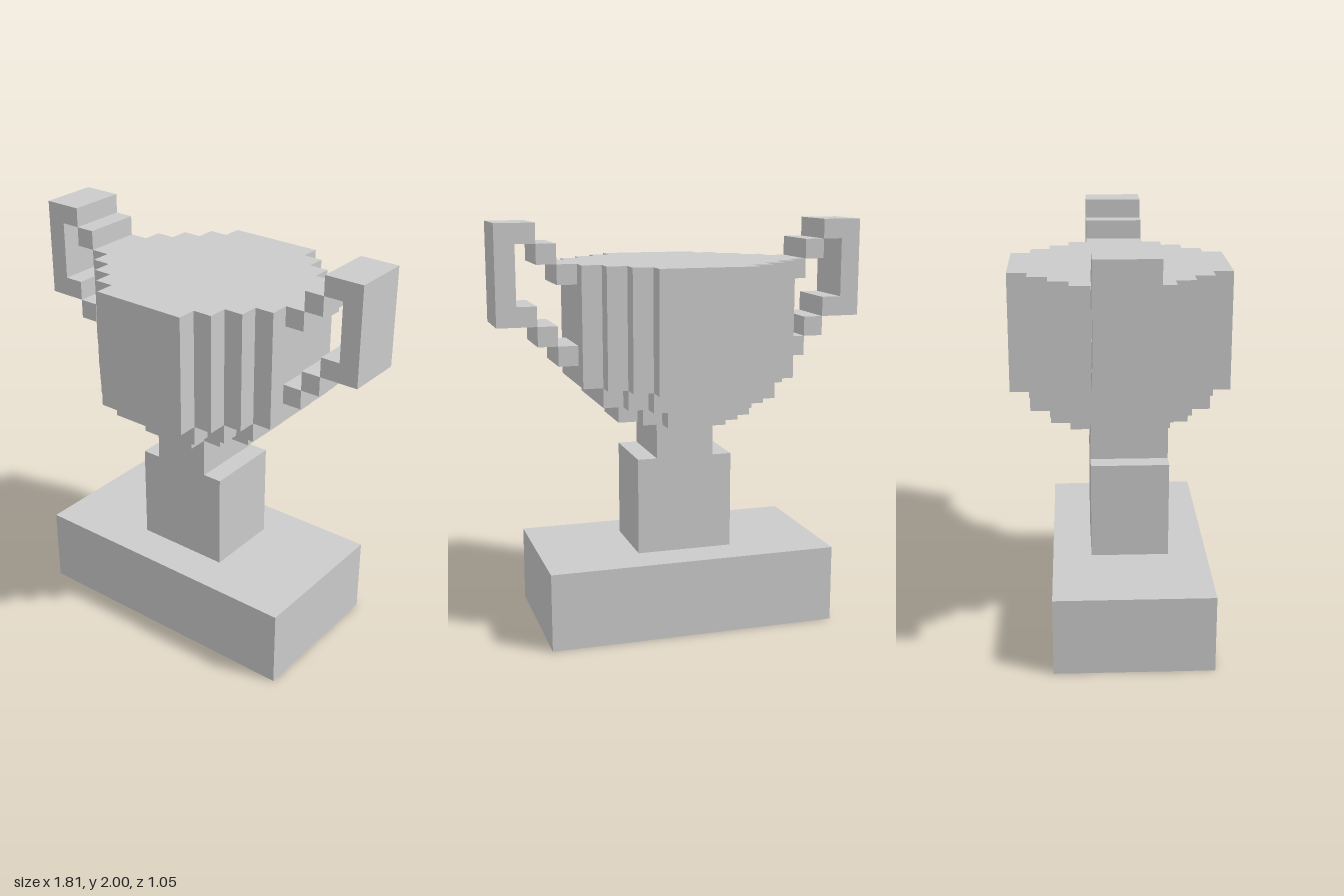
import * as THREE from 'three';

const U = 2 / 21; // one block
const material = new THREE.MeshStandardMaterial({ color: 0xcccccc, flatShading: true });

// Box from min/max corners, in blocks
function block(name, [x0, x1], [y0, y1], [z0, z1]) {
  const geometry = new THREE.BoxGeometry((x1 - x0) * U, (y1 - y0) * U, (z1 - z0) * U);
  geometry.translate((x0 + x1) * U / 2, (y0 + y1) * U / 2, (z0 + z1) * U / 2);
  const mesh = new THREE.Mesh(geometry, material);
  mesh.name = name;
  return mesh;
}

// Stepped round slab: flat sides of half width `flat`, one-block stairs at the corners
function steppedDisc(name, radius, flat, y0, y1) {
  const corner = [[radius, flat]];
  for (let x = radius, z = flat; z < radius; x--, z++) {
    corner.push([x, z]);
    if (x - 1 >= flat) corner.push([x - 1, z]);
  }
  corner.push([flat, radius]);
  const points = [];
  for (let q = 0; q < 4; q++) {
    for (let [x, z] of corner) {
      for (let i = 0; i < q; i++) [x, z] = [-z, x];
      const p = new THREE.Vector2(x * U, z * U);
      if (!points.length || points[points.length - 1].distanceTo(p) > 1e-6) points.push(p);
    }
  }
  const geometry = new THREE.ExtrudeGeometry(new THREE.Shape(points), { depth: (y1 - y0) * U, bevelEnabled: false });
  geometry.rotateX(-Math.PI / 2).translate(0, y0 * U, 0);
  const mesh = new THREE.Mesh(geometry, material);
  mesh.name = name;
  return mesh;
}

// C-shaped grip with blocks stepping in to the bowl
function handle(name, side) {
  const group = new THREE.Group();
  group.name = name;
  const parts = [
    ['grip', [8.5, 9.5], [16, 21]],
    ['upperArm', [7.5, 8.5], [20, 21]],
    ['upperOuterStep', [6.5, 7.5], [19, 20]],
    ['upperInnerStep', [5.5, 6.5], [18, 19]],
    ['lowerArm', [7.5, 8.5], [16, 17]],
    ['lowerOuterStep', [6.5, 7.5], [15, 16]],
    ['lowerInnerStep', [5.5, 6.5], [14, 15]],
  ];
  for (const [part, [a, b], y] of parts) {
    group.add(block(part, side > 0 ? [a, b] : [-b, -a], y, [-1.5, 1.5]));
  }
  return group;
}

export function createModel() {
  const model = new THREE.Group();
  model.name = 'trophy';
  // Base and stem sit half a block forward
  model.add(
    block('base', [-7.5, 7.5], [0, 4], [-3.5, 4.5]),
    block('lowerStem', [-2.5, 2.5], [4, 9], [-1.5, 2.5]),
    block('upperStem', [-1.5, 1.5], [9, 11], [-1.5, 2.5]),
  );
  // Cup widening upwards
  model.add(
    steppedDisc('cupBottom', 3.5, 1.5, 11, 12),
    steppedDisc('cupShoulder', 4.5, 2.5, 12, 13),
    steppedDisc('cupBody', 5.5, 2.5, 13, 19),
  );
  model.add(handle('leftHandle', 1), handle('rightHandle', -1));
  return model;
}
